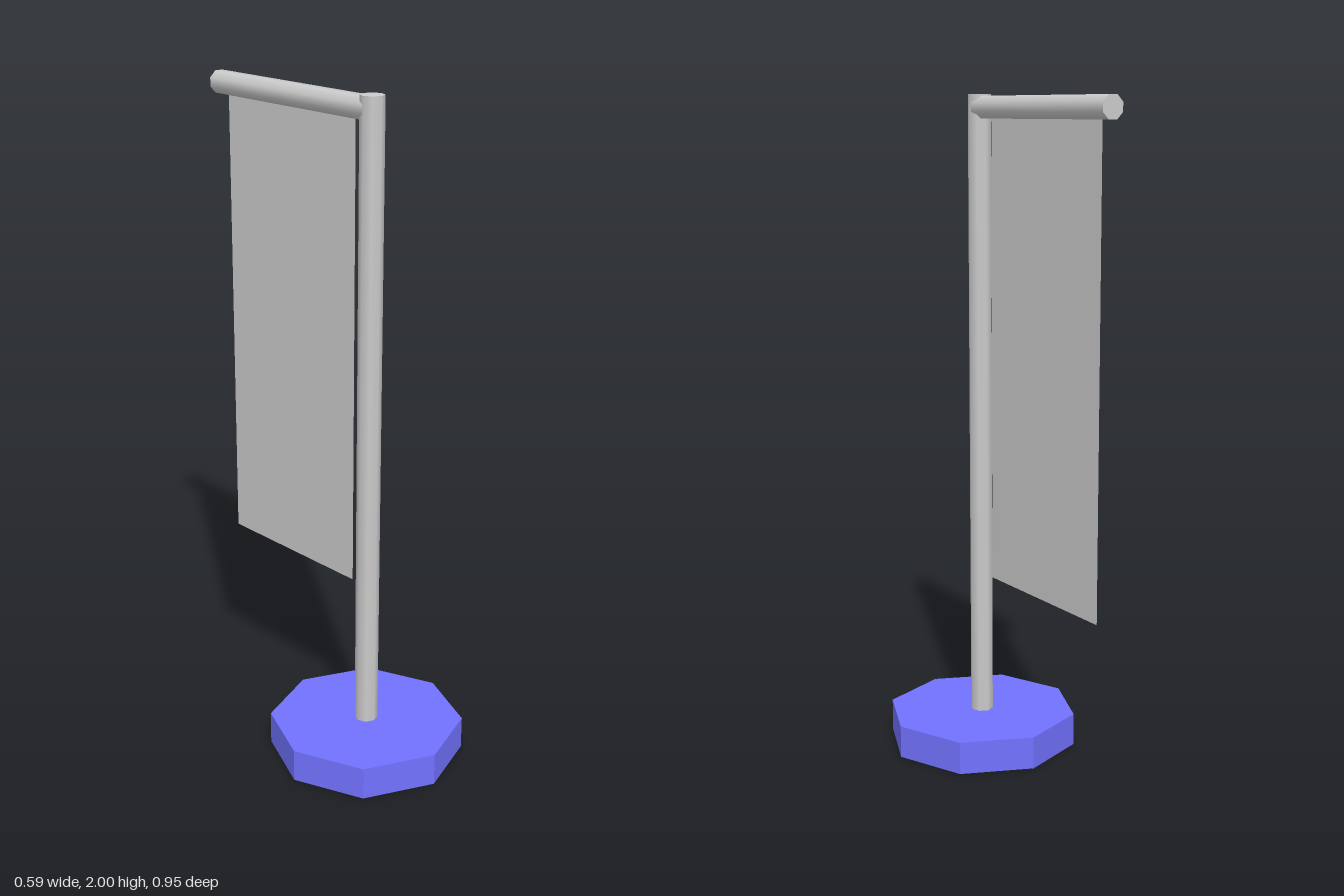
import * as THREE from 'three';

export function createModel() {
  const group = new THREE.Group();
  const grey = new THREE.MeshStandardMaterial({ color: 0xcccccc });
  const cloth = new THREE.MeshStandardMaterial({ color: 0xcccccc, side: THREE.DoubleSide });
  const blue = new THREE.MeshStandardMaterial({ color: 0x7272ff, flatShading: true });
  const poleZ = 0.18;

  const add = (name, geometry, material, y, z) => {
    const mesh = new THREE.Mesh(geometry, material);
    mesh.name = name;
    mesh.position.set(0, y, z);
    group.add(mesh);
    return mesh;
  };

  // Octagonal foot, corners on the axes
  add('base', new THREE.CylinderGeometry(0.295, 0.295, 0.1, 8), blue, 0.05, poleZ);

  // Upright pole standing on the foot
  add('pole', new THREE.CylinderGeometry(0.035, 0.035, 1.9, 8), grey, 1.05, poleZ);

  // Crossbar running backwards from the pole, flats facing up and sideways
  const barLength = 0.655;
  const bar = new THREE.CylinderGeometry(0.035, 0.035, barLength, 8);
  bar.rotateY(Math.PI / 8).rotateX(Math.PI / 2);
  add('crossbar', bar, grey, 1.963, poleZ - barLength / 2);

  // Thin hanging banner below the crossbar
  const banner = new THREE.PlaneGeometry(0.545, 1.4).rotateY(Math.PI / 2);
  add('banner', banner, cloth, 1.245, -0.157);

  return group;
}
